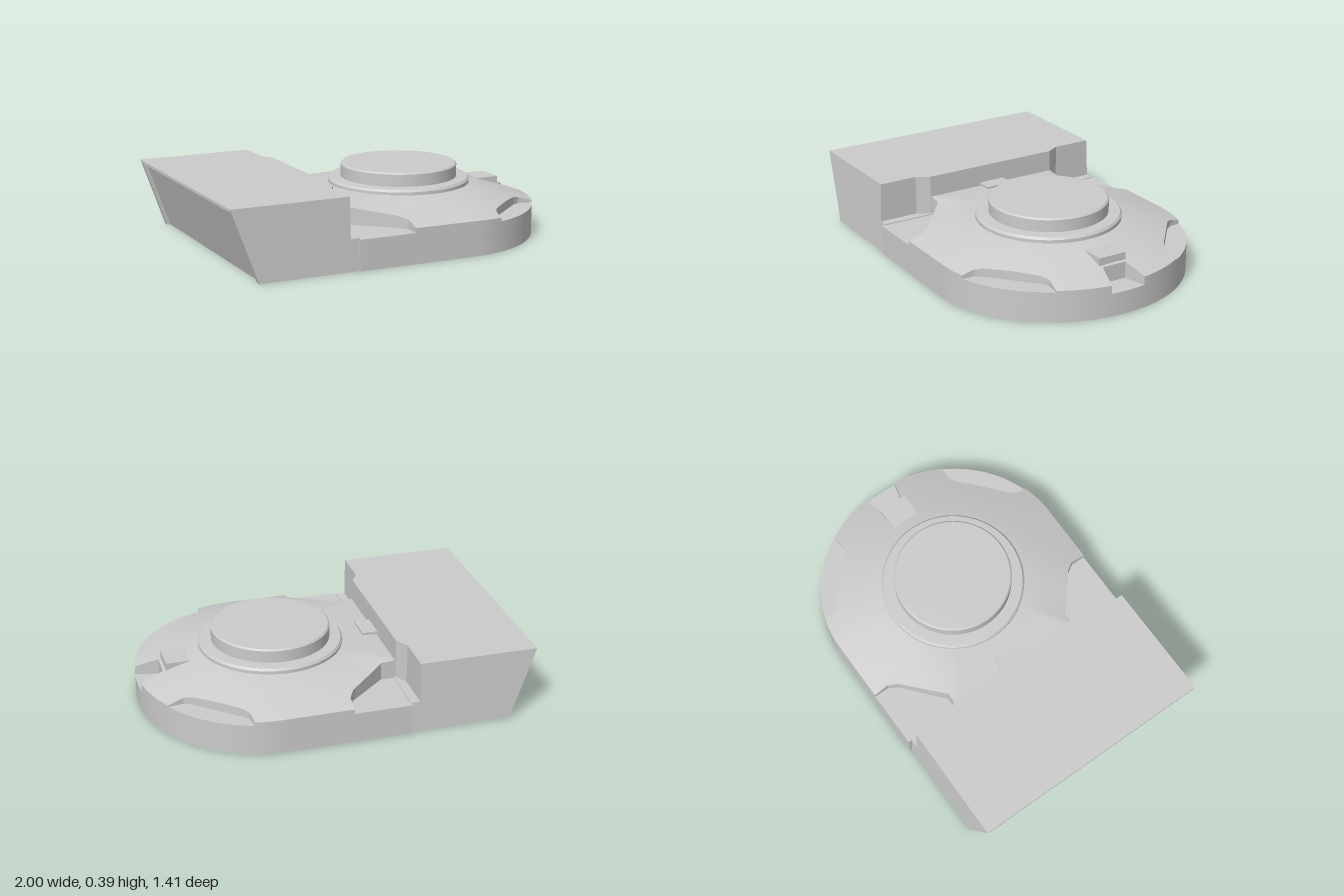
import * as THREE from 'three';
import { toCreasedNormals } from 'three/addons/utils/BufferGeometryUtils.js';

const CX = 0.265; // centre of the round cap
const BACK = -0.315; // rear edge of the rounded body
const FLOOR = 0.165; // level of the pocket floors
const RING = 0.36;
const material = new THREE.MeshStandardMaterial({ color: 0xcccccc });

function add(parent, name, geometry, y = 0, x = 0, z = 0) {
  const mesh = new THREE.Mesh(geometry, material);
  mesh.name = name;
  mesh.position.set(x, y, z);
  parent.add(mesh);
  return mesh;
}

const box = (x0, x1, y0, y1, z0, z1) =>
  new THREE.BoxGeometry(x1 - x0, y1 - y0, z1 - z0)
    .translate((x0 + x1) / 2, (y0 + y1) / 2, (z0 + z1) / 2);

// Points on the rounded front, between two angles
function arc(a, b, n) {
  return Array.from({ length: n + 1 }, (_, i) => {
    const t = a + (b - a) * i / n;
    return [0.35 + 0.65 * Math.cos(t), 0.705 * Math.sin(t)];
  });
}

// Closed plan outline from its +z half
function mirrored(half) {
  const other = half.filter(p => p[1] > 0.001).reverse().map(([x, z]) => [x, -z]);
  return [...half, ...other];
}

// Adds points along long edges so that they can follow the dome
function subdivide(points, step) {
  const out = [];
  points.forEach(([x, z], i) => {
    const [u, w] = points[(i + 1) % points.length];
    const n = Math.max(1, Math.ceil(Math.hypot(u - x, w - z) / step));
    for (let k = 0; k < n; k++) out.push([x + (u - x) * k / n, z + (w - z) * k / n]);
  });
  return out;
}

// Upright prism over a plan outline
function prism(points, y0, y1) {
  const shape = new THREE.Shape(points.map(([x, z]) => new THREE.Vector2(x, z)));
  const g = new THREE.ExtrudeGeometry(shape, { depth: y1 - y0, bevelEnabled: false });
  return toCreasedNormals(g.rotateX(Math.PI / 2).translate(0, y1, 0), 0.5);
}

// Distance from the cap centre to the full outline, along a direction
function reach(c, s) {
  let lo = 0, hi = 1.5;
  for (let i = 0; i < 30; i++) {
    const r = (lo + hi) / 2, x = CX + r * c, z = r * s;
    const inside = x > BACK && Math.abs(z) < 0.705 &&
      (x < 0.35 || ((x - 0.35) / 0.65) ** 2 + (z / 0.705) ** 2 < 1);
    if (inside) lo = r; else hi = r;
  }
  return lo;
}

// Height of the dome: from the cap ring down to the rim, higher at the rear
function domeHeight(x, z) {
  const r = Math.hypot(x - CX, z), c = (x - CX) / r, s = z / r, R = reach(c, s);
  const ex = CX + R * c, ez = Math.abs(R * s);
  let rim = 0.19 - 0.02 * Math.max(0, (ex - 0.35) / 0.65);
  if (ex < BACK + 0.005) rim = 0.27 - 0.08 * THREE.MathUtils.clamp((ez - 0.39) / 0.31, 0, 1);
  const t = THREE.MathUtils.clamp((r - RING) / (R - RING), 0, 1);
  return 0.283 + (rim - 0.283) * Math.pow(t, 1.2);
}

// Surface through closed rings of equal length, listed bottom to top
function loft(rings) {
  const n = rings[0].length, index = [];
  for (let i = 0; i < rings.length - 1; i++) {
    for (let j = 0; j < n; j++) {
      const k = (j + 1) % n, a = i * n + j, b = i * n + k;
      index.push(a, a + n, b, b, a + n, b + n);
    }
  }
  const g = new THREE.BufferGeometry();
  g.setAttribute('position', new THREE.Float32BufferAttribute(rings.flat(2), 3));
  g.setIndex(index);
  return toCreasedNormals(g, 0.5);
}

export function createModel() {
  const model = new THREE.Group();
  model.name = 'model';

  // Rounded lower body, with the nose notch cut into its upper layer
  const nose = [[0.87, 0], [0.87, 0.07]];
  const noseAngle = Math.asin(0.1 / 0.705);
  const rear = [[BACK, 0.7], [BACK, 0]];
  const body = new THREE.Group();
  body.name = 'body';
  model.add(body);
  add(body, 'lowerBody', prism(mirrored([...arc(0, Math.PI / 2, 32), ...rear]), 0, 0.125));
  add(body, 'bodyRim',
    prism(mirrored([...nose, ...arc(noseAngle, Math.PI / 2, 30), ...rear]), 0.125, FLOOR));

  // Dome, its outline stepping in around the nose notch and the four pockets
  const pocketStart = Math.asin(0.37 / 0.705), pocketEnd = Math.acos(0.17 / 0.65);
  const outline = subdivide(mirrored([
    ...nose,
    ...arc(noseAngle, pocketStart, 10),
    [0.82, 0.36], [0.78, 0.38], [0.55, 0.58], [0.525, 0.62],
    ...arc(pocketEnd, Math.PI / 2, 8),
    [0, 0.703], [0, 0.62], [-0.03, 0.57], [-0.24, 0.39], [BACK, 0.39], [BACK, 0],
  ]), 0.04);
  const rings = [outline.map(([x, z]) => [x, FLOOR - 0.005, z])];
  for (let i = 0; i <= 8; i++) {
    rings.push(outline.map(([x, z]) => {
      const r = Math.hypot(x - CX, z), f = 1 + (RING / r - 1) * i / 8;
      const px = CX + (x - CX) * f, pz = z * f;
      return [px, domeHeight(px, pz), pz];
    }));
  }
  add(body, 'dome', loft(rings));

  // Round cap on its stepped ring
  const profile = [[0.39, 0.25], [0.39, 0.295], [0.38, 0.307], [0.32, 0.31],
    [0.32, 0.376], [0.312, 0.384], [0.2, 0.386], [0, 0.387]]
    .map(([r, y]) => new THREE.Vector2(r, y));
  add(model, 'cap', toCreasedNormals(new THREE.LatheGeometry(profile, 64), 0.5), 0, CX);

  // Small blocks ahead of and behind the cap
  add(model, 'noseBlock', box(0.7, 0.855, 0.19, 0.26, -0.08, 0.08));
  add(model, 'rearStrip', box(-0.32, -0.235, 0.2, 0.287, -0.075, 0.075));

  // Rear housing with a sloping back
  const housing = new THREE.Group();
  housing.name = 'rearHousing';
  model.add(housing);
  const H = 0.385;
  const core = prism(mirrored([[-0.32, 0], [-0.32, 0.39], [-0.36, 0.46], [-0.36, 0.665],
    [-0.98, 0.665], [-0.98, 0]]), 0, H);
  const p = core.attributes.position;
  for (let i = 0; i < p.count; i++) {
    if (p.getX(i) < -0.9) p.setX(i, p.getX(i) + 0.14 * (1 - p.getY(i) / H));
  }
  add(housing, 'housingCore', toCreasedNormals(core, 0.5));
  add(housing, 'topLip', box(-1, -0.9, H - 0.015, H, -0.66, 0.66));
  add(housing, 'lowerJoint', box(-0.4, -0.31, 0, 0.17, -0.665, 0.665));

  // Side plates, leaning slightly inward
  const side = new THREE.Shape([[-1, H], [-0.86, 0], [-0.31, 0], [-0.31, 0.17],
    [-0.36, 0.17], [-0.36, H]].map(([x, y]) => new THREE.Vector2(x, y)));
  for (const s of [1, -1]) {
    const g = new THREE.ExtrudeGeometry(side, { depth: 0.03, bevelEnabled: false });
    g.translate(0, 0, s > 0 ? 0.658 : -0.688);
    const q = g.attributes.position;
    for (let i = 0; i < q.count; i++) q.setZ(i, q.getZ(i) - s * 0.016 * q.getY(i) / H);
    g.computeVertexNormals();
    add(housing, s > 0 ? 'leftPlate' : 'rightPlate', g);
  }
  return model;
}
